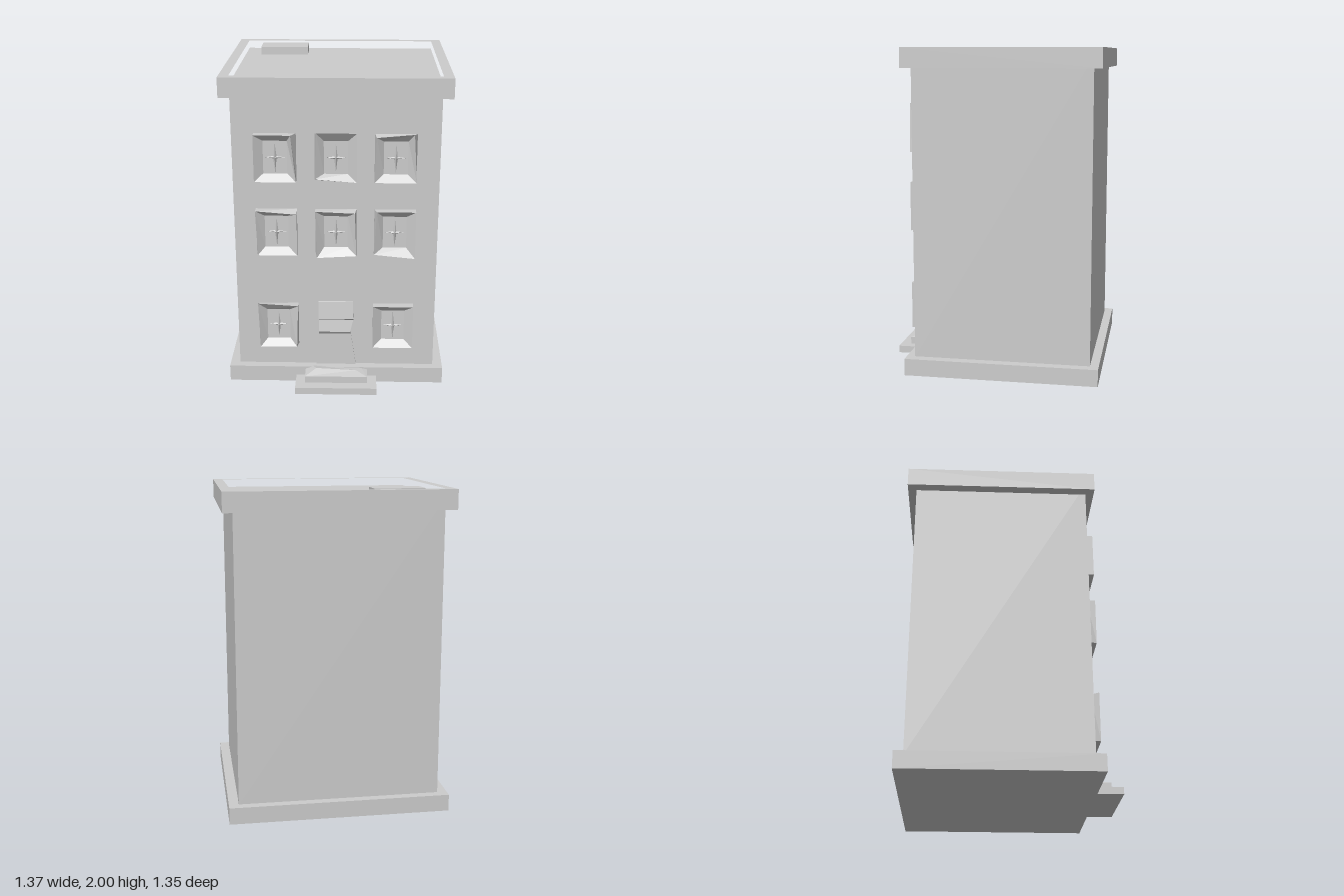
import * as THREE from 'three';

const stone = new THREE.MeshStandardMaterial({ color: 0xcccccc });
stone.name = 'grey stone';

const WALL = 0.463; // z of the front wall

function add(parent, geometry, name) {
  const mesh = new THREE.Mesh(geometry, stone);
  mesh.name = name;
  parent.add(mesh);
  return mesh;
}

// Box given by its two extreme corners
function block(parent, name, [x0, y0, z0], [x1, y1, z1]) {
  const mesh = add(parent, new THREE.BoxGeometry(x1 - x0, y1 - y0, z1 - z0), name);
  mesh.position.set((x0 + x1) / 2, (y0 + y1) / 2, (z0 + z1) / 2);
}

// Flat-shaded skin over successive cross-sections with equal point counts
function loft(rings, closed, cap) {
  const out = [];
  const n = rings[0].length;
  for (let r = 0; r + 1 < rings.length; r++) {
    for (let i = 0; i < (closed ? n : n - 1); i++) {
      const j = (i + 1) % n;
      const [a, b, c, d] = [rings[r][i], rings[r][j], rings[r + 1][j], rings[r + 1][i]];
      out.push(...a, ...b, ...c, ...a, ...c, ...d);
    }
  }
  if (cap) {
    const [a, b, c, d] = rings[rings.length - 1];
    out.push(...a, ...b, ...c, ...a, ...c, ...d);
  }
  const geometry = new THREE.BufferGeometry();
  geometry.setAttribute('position', new THREE.Float32BufferAttribute(out, 3));
  geometry.computeVertexNormals();
  return geometry;
}

// Corners counter-clockwise from lower left
const rect = (w, h, z) => [[-w, -h, z], [w, -h, z], [w, h, z], [-w, h, z]];

// Crooked frame sloping inwards to a pane with a pointed cross
function makeWindow(x, y, skew) {
  const group = new THREE.Group();
  group.name = 'window';
  group.position.set(x, y, WALL);
  const front = rect(0.126, 0.145, 0.053).map(([px, py, pz], i) =>
    [px + skew[2 * i] / 100, py + skew[2 * i + 1] / 100, pz]);
  add(group, loft([rect(0.126, 0.145, 0), front, rect(0.072, 0.102, 0.012)], true, true), 'windowFrame');
  const bars = [[0.06, 0.009, 0.012], [0.011, 0.092, 0.016]];
  for (const size of bars) {
    const bar = add(group, new THREE.OctahedronGeometry(1, 0).scale(...size), 'glazingBar');
    bar.position.z = 0.013;
  }
  return group;
}

export function createModel() {
  const model = new THREE.Group();
  model.name = 'townhouse';

  // Main volume
  block(model, 'plinth', [-0.685, 0, -0.675], [0.685, 0.105, 0.515]);
  block(model, 'walls', [-0.624, 0.1, -0.622], [0.624, 1.95, WALL]);

  // Cornice and parapet around the sunken roof
  const outline = (x, z0, z1, Type) => new Type([[-x, z0], [x, z0], [x, z1], [-x, z1]]
    .map(([px, pz]) => new THREE.Vector2(px, -pz)));
  const ring = outline(0.685, -0.675, 0.515, THREE.Shape);
  ring.holes.push(outline(0.624, -0.622, WALL, THREE.Path));
  const cornice = add(model, new THREE.ExtrudeGeometry(ring, { depth: 0.12, bevelEnabled: false }), 'cornice');
  cornice.rotation.x = -Math.PI / 2;
  cornice.position.y = 1.88;
  block(model, 'roofHatch', [-0.52, 1.94, -0.56], [-0.21, 2.0, -0.395]);

  // Entrance steps, the upper one worn to a ridge
  block(model, 'lowerStep', [-0.255, 0, 0.5], [0.26, 0.045, 0.675]);
  add(model, loft([
    [[-0.195, 0.04, 0.5], [-0.195, 0.04, 0.61], [0.2, 0.04, 0.61], [0.2, 0.04, 0.5]],
    [[-0.195, 0.09, 0.5], [-0.195, 0.09, 0.61], [0.2, 0.09, 0.61], [0.2, 0.09, 0.5]],
    [[-0.15, 0.106, 0.5], [-0.125, 0.116, 0.55], [0.13, 0.104, 0.55], [0.16, 0.1, 0.5]],
  ], true, true), 'upperStep');

  // Windows, with the skew of each frame corner in hundredths
  const windows = [
    [-0.364, 1.51, [0, 0, 0, 0, -3, 0, 0, 0]],
    [0, 1.51, [0, 2, 0, 0, 0, 1.5, 1, 1.5]],
    [0.358, 1.51, [0, 0, 0, 0, -2, 1, 1, -1]],
    [-0.364, 1.033, [1, 0, 0, 0, 0, -2, 0, 0]],
    [0, 1.033, [1, -1.5, 0, 0, -1, -1, 0, 0]],
    [0.36, 1.033, [0, 1, 0, -1.5, 0, 0, 1.5, 0]],
    [-0.364, 0.395, [1, 0, -1, 0, 0, 0, 0, 1.5]],
    [0.36, 0.395, [0, 0, 0, 0, 0, 0, 0, 0]],
  ];
  for (const [x, y, skew] of windows) model.add(makeWindow(x, y, skew));

  // Door with three sloping panels: left x, right x, y, front z
  const rows = [
    [-0.128, 0.128, 0.1, 0.474], [-0.11, 0.095, 0.325, 0.472], [-0.11, 0.09, 0.345, 0.486],
    [-0.11, 0.11, 0.425, 0.472], [-0.11, 0.11, 0.437, 0.486], [-0.112, 0.108, 0.55, 0.471],
    [-0.112, 0.108, 0.552, WALL],
  ];
  add(model, loft(rows.map(([x0, x1, y, z]) =>
    [[x0, y, WALL], [x0, y, z], [x1, y, z], [x1, y, WALL]]), false, false), 'door');

  return model;
}
